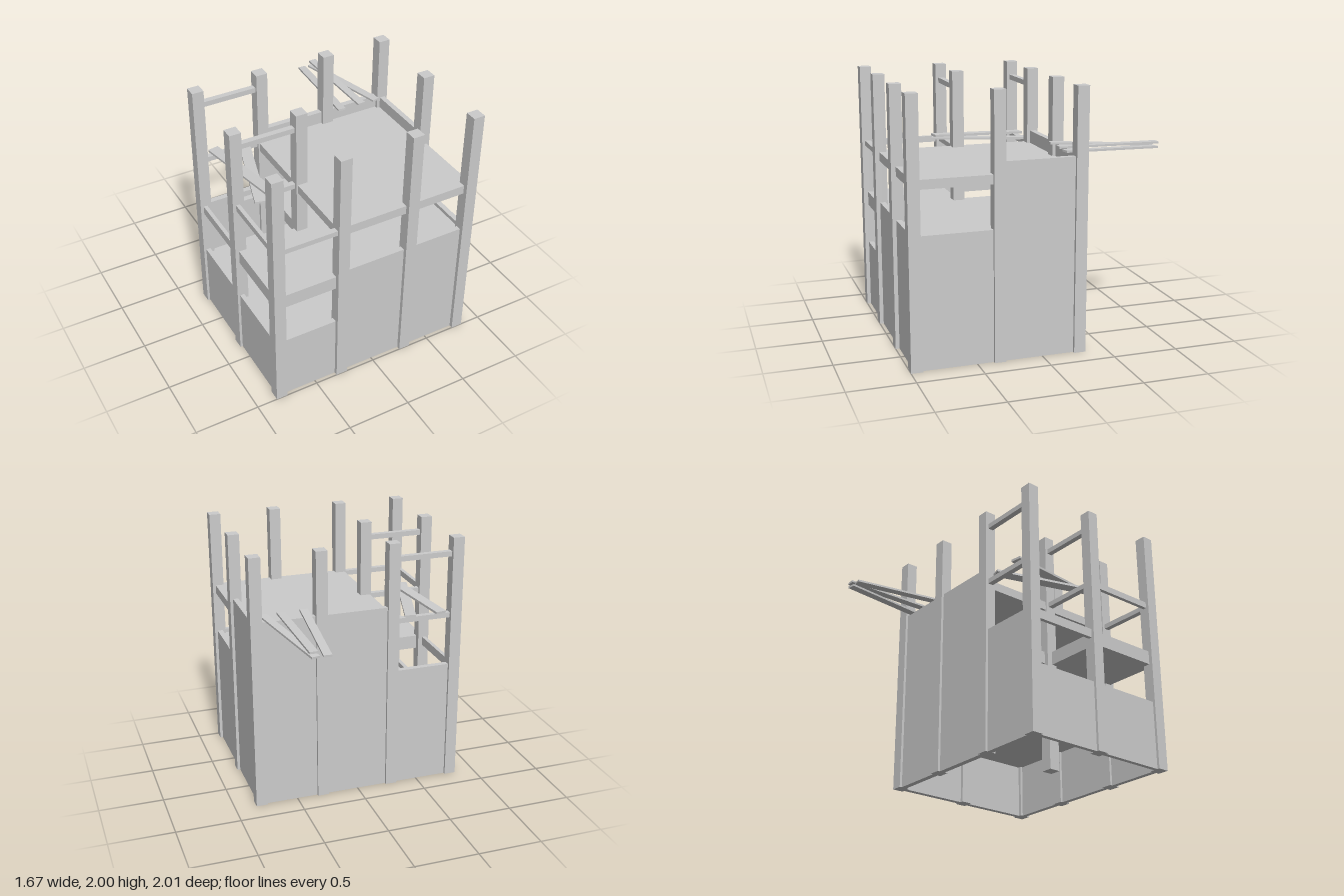
import * as THREE from 'three';

export function createModel() {
  const model = new THREE.Group();
  const mat = new THREE.MeshStandardMaterial({ color: 0xcccccc, flatShading: true });

  // Box given by its minimum and maximum on each axis
  const box = (name, x0, x1, y0, y1, z0, z1) => {
    const m = new THREE.Mesh(new THREE.BoxGeometry(x1 - x0, y1 - y0, z1 - z0), mat);
    m.position.set((x0 + x1) / 2, (y0 + y1) / 2, (z0 + z1) / 2);
    m.name = name;
    model.add(m);
  };

  // Loose board running between two points, optionally rolled about its length
  const plank = (name, a, b, width, thick, roll = 0) => {
    const p = new THREE.Vector3(...a), q = new THREE.Vector3(...b);
    const m = new THREE.Mesh(new THREE.BoxGeometry(width, thick, p.distanceTo(q)), mat);
    m.position.copy(p).lerp(q, 0.5);
    m.lookAt(q);
    m.rotateZ(roll);
    m.name = name;
    model.add(m);
  };

  const X = [-0.795, -0.28, 0.29, 0.79];
  const Z = [-0.29, 0.33, 0.955];
  const h = 0.045;

  // Posts on a 4 x 3 grid, one inner post left out
  X.forEach((x, i) => Z.forEach((z, j) => {
    if (i === 2 && j === 1) return;
    box('post', x - h, x + h, 0, 2, z - h, z + h);
  }));

  // Front and back wall panels, low in the open bay
  for (let i = 0; i < 3; i++) {
    box('frontWall', X[i], X[i + 1], 0, i ? 1.0 : 0.54, 0.93, 0.97);
    box('backWall', X[i], X[i + 1], 0, i ? 1.5 : 0.97, -0.315, -0.27);
  }

  // Side wall panels
  for (let j = 0; j < 2; j++) {
    box('rightWall', 0.77, 0.812, 0, j ? 1.0 : 1.49, Z[j], Z[j + 1]);
    box('leftWall', -0.82, -0.785, 0, 0.54, Z[j], Z[j + 1]);
  }

  // Floors: low floor, middle floor with its balcony, upper platform
  box('lowerFloor', -0.79, 0.78, 0.43, 0.5, -0.28, 0.94);
  box('middleFloor', -0.29, 0.78, 0.87, 0.97, -0.28, 0.94);
  box('balcony', -0.81, -0.29, 0.86, 0.97, 0.33, 0.965);
  box('upperPlatform', -0.315, 0.81, 1.33, 1.4, -0.28, 0.965);

  // Rails around the open bay
  for (const z of Z) box('crossRail', X[0], X[1], 1.36, 1.4, z - 0.022, z + 0.022);
  for (const z of [Z[0], Z[1]]) box('topRail', X[0], X[1], 1.85, 1.89, z - 0.022, z + 0.022);
  box('sideRail', -0.815, -0.785, 1.35, 1.4, Z[1], Z[2]);
  box('lowSideRail', -0.815, -0.785, 0.9, 0.97, Z[0], Z[1]);

  // Crossed planks lying on the rails
  plank('lowerPlank', [-0.42, 1.41, -0.32], [-0.65, 1.41, 0.44], 0.085, 0.018);
  plank('upperPlank', [-0.67, 1.415, -0.33], [-0.545, 1.45, 0.455], 0.085, 0.018);

  // Planks jutting out over the back wall
  plank('backPlank', [0.39, 1.517, -0.2], [0.465, 1.47, -1], 0.062, 0.016);
  plank('backPlank', [0.57, 1.517, -0.2], [0.565, 1.508, -1], 0.062, 0.016);
  plank('backPlank', [0.705, 1.512, -0.2], [0.55, 1.47, -1], 0.062, 0.016);

  return model;
}
